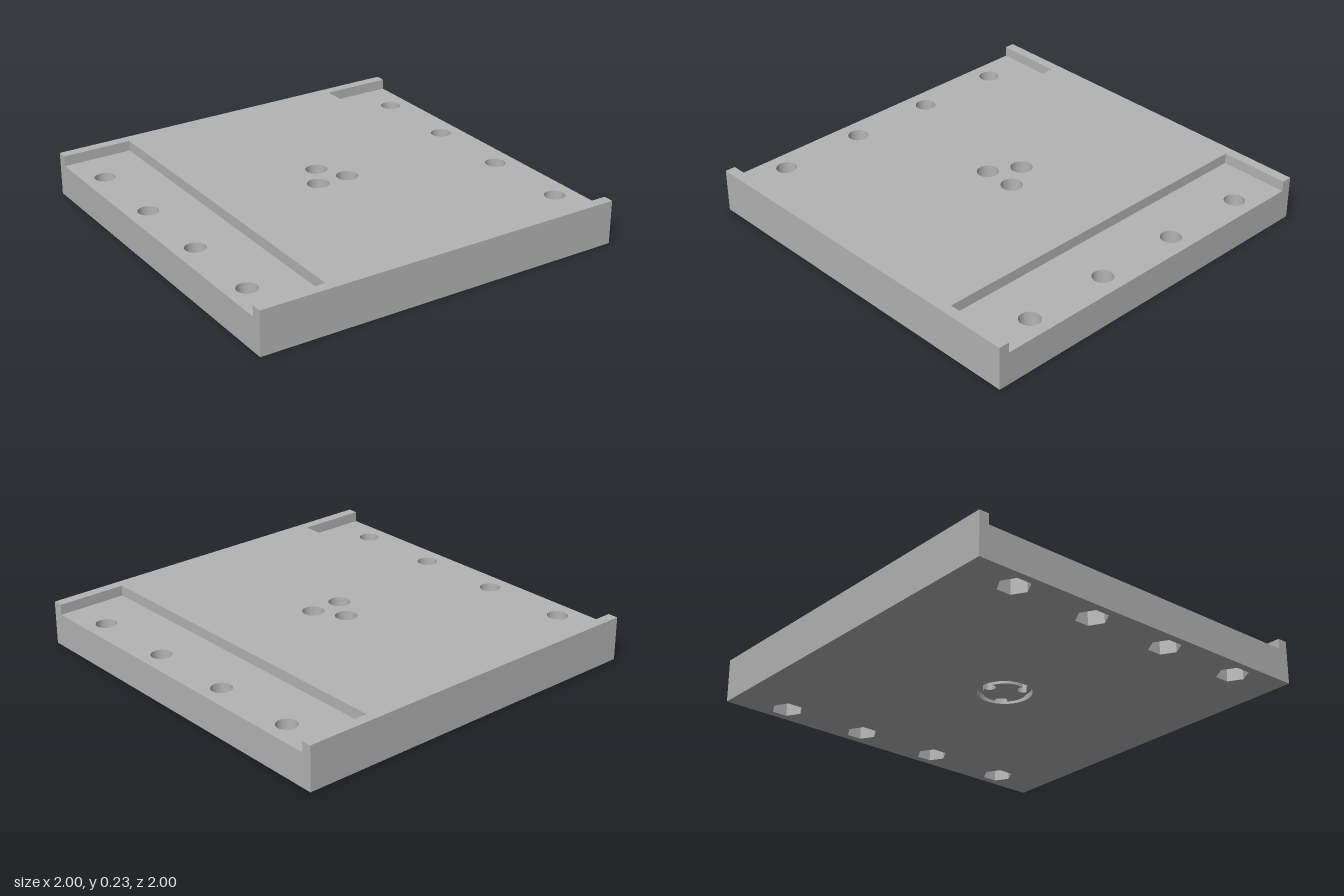
import * as THREE from 'three';

const H = 0.23, LEDGE = 0.175;          // plate top and side ledge heights
const NUT_DEPTH = 0.08, GROOVE_DEPTH = 0.03, BORE_FLOOR = 0.11;
const INNER = 0.628, LIP = 0.945;       // ledge inner edge and end lips
const RING_IN = 0.11, RING_OUT = 0.14, ORBIT = 0.1, PIN_R = 0.032;

// Outlines are lists of [x, z] as Vector2
const P = (list) => list.map(([x, z]) => new THREE.Vector2(x, z));
const rect = (x0, z0, x1, z1) => P([[x0, z0], [x1, z0], [x1, z1], [x0, z1]]);

function arc(cx, cz, r, a0, a1, n) {
  const out = [];
  for (let i = 0; i < n; i++) {
    const a = a0 + (a1 - a0) * i / n;
    out.push(new THREE.Vector2(cx + r * Math.cos(a), cz + r * Math.sin(a)));
  }
  return out;
}
const circle = (x, z, r, n = 48, start = 0) => arc(x, z, r, start, start + Math.PI * 2, n);

// Horizontal face at height y, looking up or down
function face(outline, holes, y, up) {
  const s = up ? -1 : 1;
  const flip = (pts) => pts.map((p) => new THREE.Vector2(p.x, p.y * s));
  const shape = new THREE.Shape(flip(outline));
  shape.holes = holes.map((h) => new THREE.Path(flip(h)));
  return new THREE.ShapeGeometry(shape).rotateX(s * Math.PI / 2).translate(0, y, 0);
}

// Vertical wall along a closed outline, looking outward or inward
function wall(outline, y0, y1, outward) {
  const clockwise = THREE.ShapeUtils.area(outline) < 0;
  const pts = clockwise === outward ? outline : [...outline].reverse();
  const pos = [];
  pts.forEach((a, i) => {
    const b = pts[(i + 1) % pts.length];
    pos.push(a.x, y0, a.y, b.x, y0, b.y, b.x, y1, b.y);
    pos.push(a.x, y0, a.y, b.x, y1, b.y, a.x, y1, a.y);
  });
  const g = new THREE.BufferGeometry();
  g.setAttribute('position', new THREE.Float32BufferAttribute(pos, 3));
  g.computeVertexNormals();
  return g;
}

// Disc outline around the pin holes: notched by them, or joined with them
function discWithPins(angles, joined) {
  const phi = Math.acos((RING_IN ** 2 + ORBIT ** 2 - PIN_R ** 2) / (2 * RING_IN * ORBIT));
  const psi = Math.atan2(RING_IN * Math.sin(phi), RING_IN * Math.cos(phi) - ORBIT);
  return angles.flatMap((t) => [
    ...arc(ORBIT * Math.cos(t), ORBIT * Math.sin(t), PIN_R, t - psi,
      joined ? t + psi : t + psi - Math.PI * 2, 24),
    ...arc(0, 0, RING_IN, t + phi, t + Math.PI * 2 / 3 - phi, 24),
  ]);
}

export function createModel() {
  const model = new THREE.Group();
  const grey = new THREE.MeshStandardMaterial({ color: 0xb4b4b4, side: THREE.DoubleSide });
  grey.name = 'plainGrey';
  const add = (name, ...geometries) => {
    const group = new THREE.Group();
    group.name = name;
    for (const g of geometries) {
      const mesh = new THREE.Mesh(g, grey);
      mesh.name = name;
      group.add(mesh);
    }
    model.add(group);
  };

  // Hole positions
  const bolts = [];
  for (const x of [-0.888, 0.888])
    for (const z of [-0.708, -0.236, 0.236, 0.708]) bolts.push([x, z]);
  const angles = [-90, 30, 150].map(THREE.MathUtils.degToRad);
  const pins = angles.map((t) => [ORBIT * Math.cos(t), ORBIT * Math.sin(t)]);

  const boltHole = ([x, z]) => circle(x, z, 0.053);
  const nutHex = ([x, z]) => circle(x, z, 0.081, 6, Math.PI / 6);
  const counterbore = ([x, z]) => circle(x, z, 0.056);
  const pinHole = ([x, z]) => circle(x, z, PIN_R);

  // Raised top with end lips
  const top = P([[-1, -1], [1, -1], [1, -LIP], [INNER, -LIP], [INNER, LIP], [1, LIP],
    [1, 1], [-1, 1], [-1, LIP], [-INNER, LIP], [-INNER, -LIP], [-1, -LIP]]);
  add('raisedTop', face(top, pins.map(counterbore), H, true), wall(top, LEDGE, H, true));

  // Sunken ledges along both sides
  for (const s of [-1, 1]) {
    const holes = bolts.filter(([x]) => x * s > 0).map(boltHole);
    add(s > 0 ? 'leftLedge' : 'rightLedge',
      face(rect(s * INNER, -LIP, s, LIP), holes, LEDGE, true));
  }

  // Base sides and underside
  const square = rect(-1, -1, 1, 1);
  const ringEdge = circle(0, 0, RING_OUT, 64);
  add('base', wall(square, 0, LEDGE, true),
    face(square, [...bolts.map(nutHex), ringEdge], 0, false));

  // Bolt holes with hexagonal nut pockets beneath
  for (const b of bolts) {
    add('boltHole', wall(boltHole(b), NUT_DEPTH, LEDGE, false));
    add('nutPocket', wall(nutHex(b), 0, NUT_DEPTH, false),
      face(nutHex(b), [boltHole(b)], NUT_DEPTH, false));
  }

  // Counterbored pin holes in the centre
  for (const p of pins) {
    add('pinHole', wall(counterbore(p), BORE_FLOOR, H, false),
      face(counterbore(p), [pinHole(p)], BORE_FLOOR, true),
      wall(pinHole(p), GROOVE_DEPTH, BORE_FLOOR, false));
  }

  // Ring groove beneath, around a notched hub
  const hub = discWithPins(angles, false);
  add('ringGroove', wall(ringEdge, 0, GROOVE_DEPTH, false),
    face(ringEdge, [discWithPins(angles, true)], GROOVE_DEPTH, false));
  add('hub', face(hub, [], 0, false), wall(hub, 0, GROOVE_DEPTH, true));

  return model;
}
